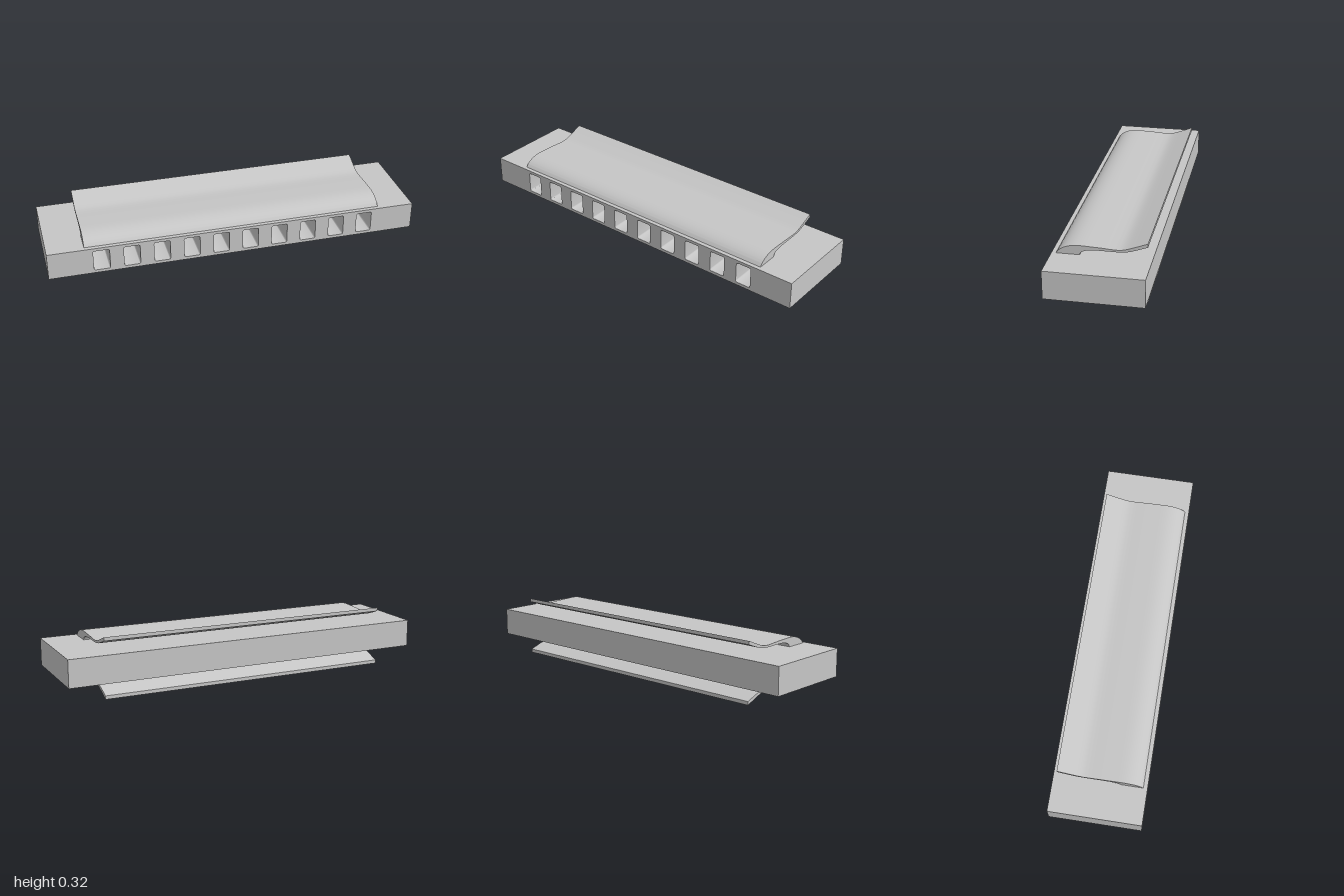
import * as THREE from 'three';
import { toCreasedNormals } from 'three/addons/utils/BufferGeometryUtils.js';

const MID = 0.161;           // height of the mirror plane between the covers
const HALF_BODY = 0.074;     // half height of the comb
const FRONT = 0.247;         // half depth of the comb
const HOLE_DEPTH = 0.4;

const steel = new THREE.MeshStandardMaterial({ color: 0xc6c6c6 });
steel.name = 'light grey';

function mesh(name, geometry) {
  const m = new THREE.Mesh(geometry, steel);
  m.name = name;
  return m;
}

// Rectangle with small rounded corners, for one blow hole
function holePath(cx, w, h, r) {
  const p = new THREE.Path();
  const x = w / 2, y = h / 2;
  p.moveTo(cx - x + r, -y);
  p.lineTo(cx + x - r, -y);
  p.quadraticCurveTo(cx + x, -y, cx + x, -y + r);
  p.lineTo(cx + x, y - r);
  p.quadraticCurveTo(cx + x, y, cx + x - r, y);
  p.lineTo(cx - x + r, y);
  p.quadraticCurveTo(cx - x, y, cx - x, y - r);
  p.lineTo(cx - x, -y + r);
  p.quadraticCurveTo(cx - x, -y, cx - x + r, -y);
  return p;
}

// Comb: a pierced front block closed by a solid strip at the back
function createComb() {
  const comb = new THREE.Group();
  comb.name = 'comb';
  const face = new THREE.Shape();
  face.moveTo(-1, -HALF_BODY);
  face.lineTo(1, -HALF_BODY);
  face.lineTo(1, HALF_BODY);
  face.lineTo(-1, HALF_BODY);
  face.closePath();
  for (let i = 0; i < 10; i++) {
    face.holes.push(holePath((i - 4.5) * 0.16, 0.086, 0.115, 0.01));
  }
  const block = new THREE.ExtrudeGeometry(face, { depth: HOLE_DEPTH, bevelEnabled: false, curveSegments: 4 });
  block.translate(0, MID, FRONT - HOLE_DEPTH);
  comb.add(mesh('piercedBlock', toCreasedNormals(block, 0.6)));

  const backDepth = 2 * FRONT - HOLE_DEPTH;
  const back = new THREE.BoxGeometry(2, 2 * HALF_BODY, backDepth);
  back.translate(0, MID, -FRONT + backDepth / 2);
  comb.add(mesh('backStrip', back));
  return comb;
}

// Cover profile as (z, height above the mirror plane)
const OUTER = [[0.225, 0.074], [0.21, 0.093], [0.182, 0.11], [0.147, 0.12], [0.107, 0.123], [0.05, 0.121],
  [0, 0.119], [-0.045, 0.116], [-0.08, 0.115], [-0.11, 0.119], [-0.15, 0.132], [-0.225, 0.161]];
const INNER = [[-0.225, 0.142], [-0.15, 0.115], [-0.115, 0.107], [-0.08, 0.104], [-0.03, 0.104],
  [0.03, 0.104], [0.065, 0.101], [0.09, 0.094], [0.104, 0.084], [0.107, 0.074]];

function smooth(points, side) {
  const curve = new THREE.SplineCurve(points.map(([z, h]) => new THREE.Vector2(z, side * h)));
  return curve.getPoints(44);
}

// Curved cover plate; side is 1 for the top and -1 for the bottom
function createCover(name, side) {
  const profile = new THREE.Shape([...smooth(OUTER, side), ...smooth(INNER, side)]);
  const length = 1.61;
  const g = new THREE.ExtrudeGeometry(profile, { depth: length, bevelEnabled: false });
  g.translate(0, 0, -length / 2);
  g.rotateY(-Math.PI / 2);
  g.translate(0, MID, 0);
  return mesh(name, toCreasedNormals(g, 0.6));
}

export function createModel() {
  const model = new THREE.Group();
  model.name = 'harmonica';
  model.add(createComb(), createCover('topCover', 1), createCover('bottomCover', -1));
  return model;
}
